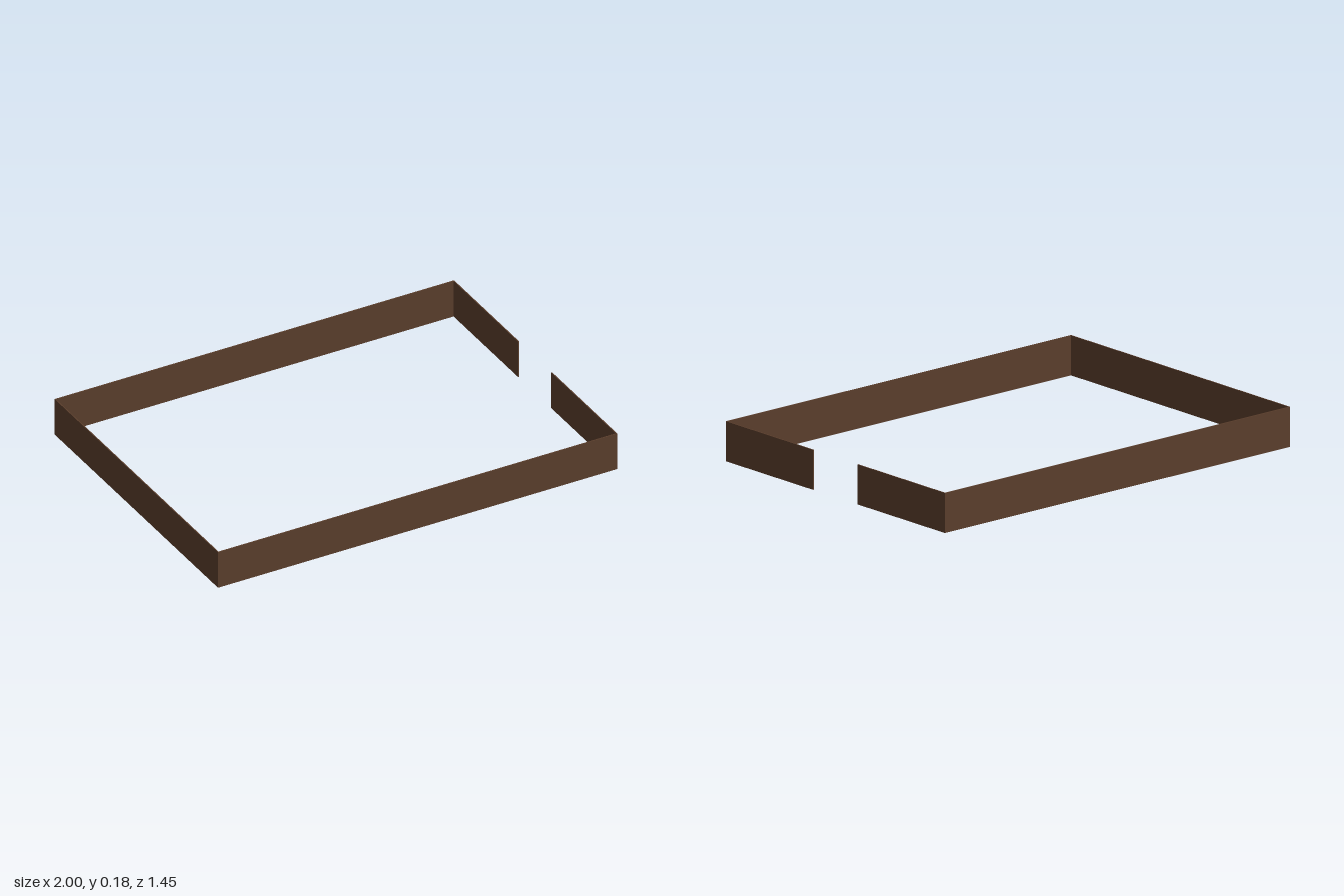
import * as THREE from 'three';

export function createModel() {
  const group = new THREE.Group();
  const material = new THREE.MeshStandardMaterial({ color: 0x5b3e2c });
  const halfX = 1, halfZ = 0.727, height = 0.182, thick = 0.005, gap = 0.147;

  // A thin upright board standing on the ground
  function board(name, width, depth, x, z) {
    const mesh = new THREE.Mesh(new THREE.BoxGeometry(width, height, depth), material);
    mesh.name = name;
    mesh.position.set(x, height / 2, z);
    group.add(mesh);
  }

  const sideLength = halfZ - thick - gap;
  for (const s of [1, -1]) {
    const end = s > 0 ? 'front' : 'back';
    // Long boards at the front and back
    board(end + 'Board', 2 * halfX, thick, 0, s * (halfZ - thick / 2));
    // Short boards on either side of the opening
    board(end + 'OpeningBoard', thick, sideLength, halfX - thick / 2, s * (gap + sideLength / 2));
  }
  // Closed end
  board('closedEndBoard', thick, 2 * (halfZ - thick), -halfX + thick / 2, 0);

  return group;
}
